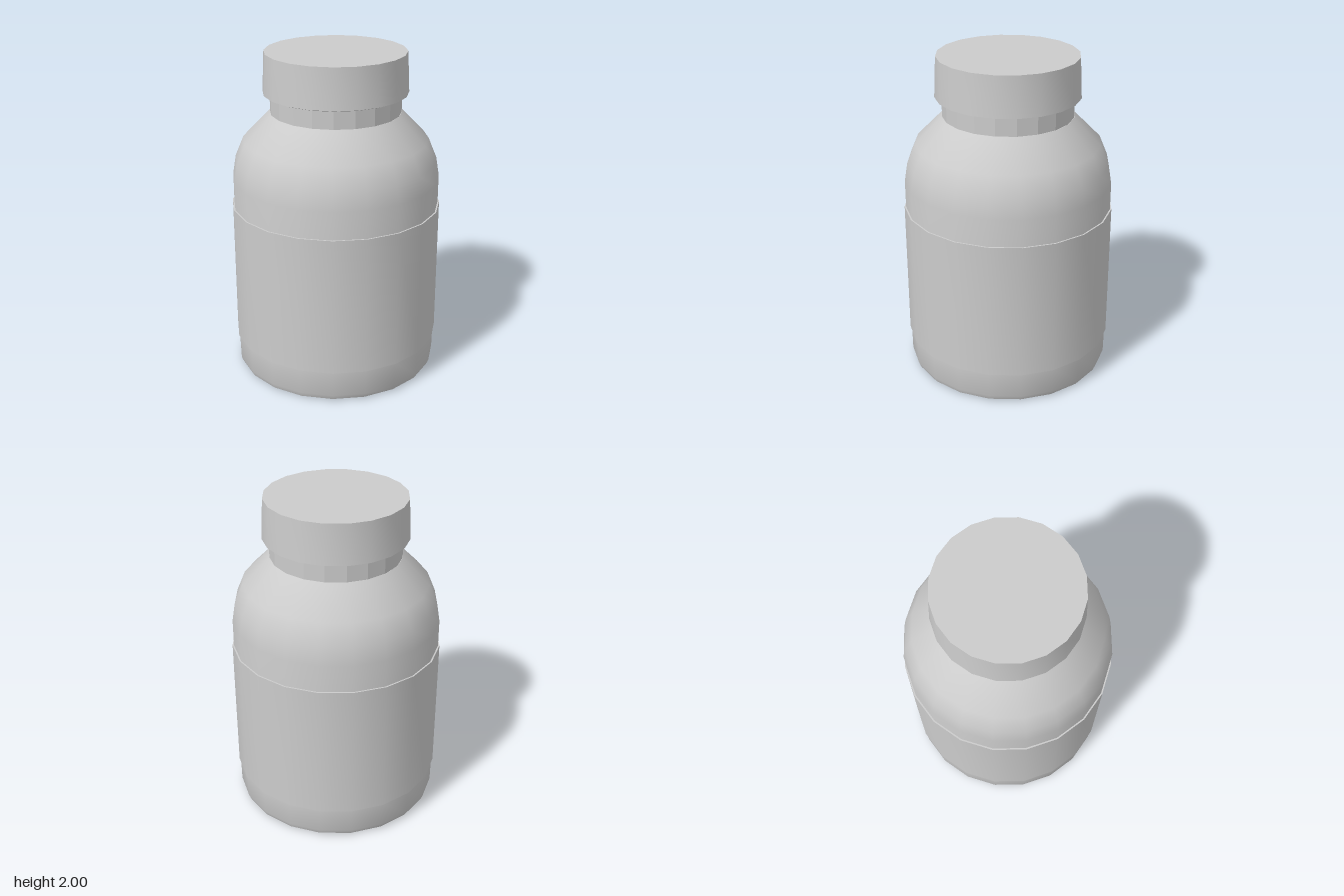
import * as THREE from 'three';
import { toCreasedNormals } from 'three/addons/utils/BufferGeometryUtils.js';

const SIDES = 20;

// Revolves a [radius, height] profile, listed from bottom to top.
function turned(name, profile, flatShading = false) {
  const points = profile.map(([r, y]) => new THREE.Vector2(r, y));
  const geometry = toCreasedNormals(new THREE.LatheGeometry(points, SIDES), 0.6);
  const material = new THREE.MeshStandardMaterial({ color: 0xcccccc, flatShading });
  const mesh = new THREE.Mesh(geometry, material);
  mesh.name = name;
  return mesh;
}

export function createModel() {
  const model = new THREE.Group();
  model.name = 'bottle';

  // Body with a rounded foot and a domed shoulder
  model.add(turned('body', [
    [0, 0], [0.595, 0], [0.617, 0.009], [0.63, 0.04],
    [0.632, 0.2], [0.632, 1.23], [0.613, 1.345], [0.562, 1.468],
    [0.397, 1.635], [0.38, 1.635],
  ]));

  // Faceted neck
  model.add(turned('neck', [[0.395, 1.63], [0.395, 1.76]], true));

  // Label band wrapped round the body
  model.add(turned('label', [
    [0.63, 0.2], [0.641, 0.2], [0.641, 1.06], [0.63, 1.06],
  ]));

  // Slightly tapered cap
  model.add(turned('cap', [
    [0, 1.745], [0.41, 1.745], [0.437, 1.755], [0.425, 2], [0, 2],
  ]));

  return model;
}
